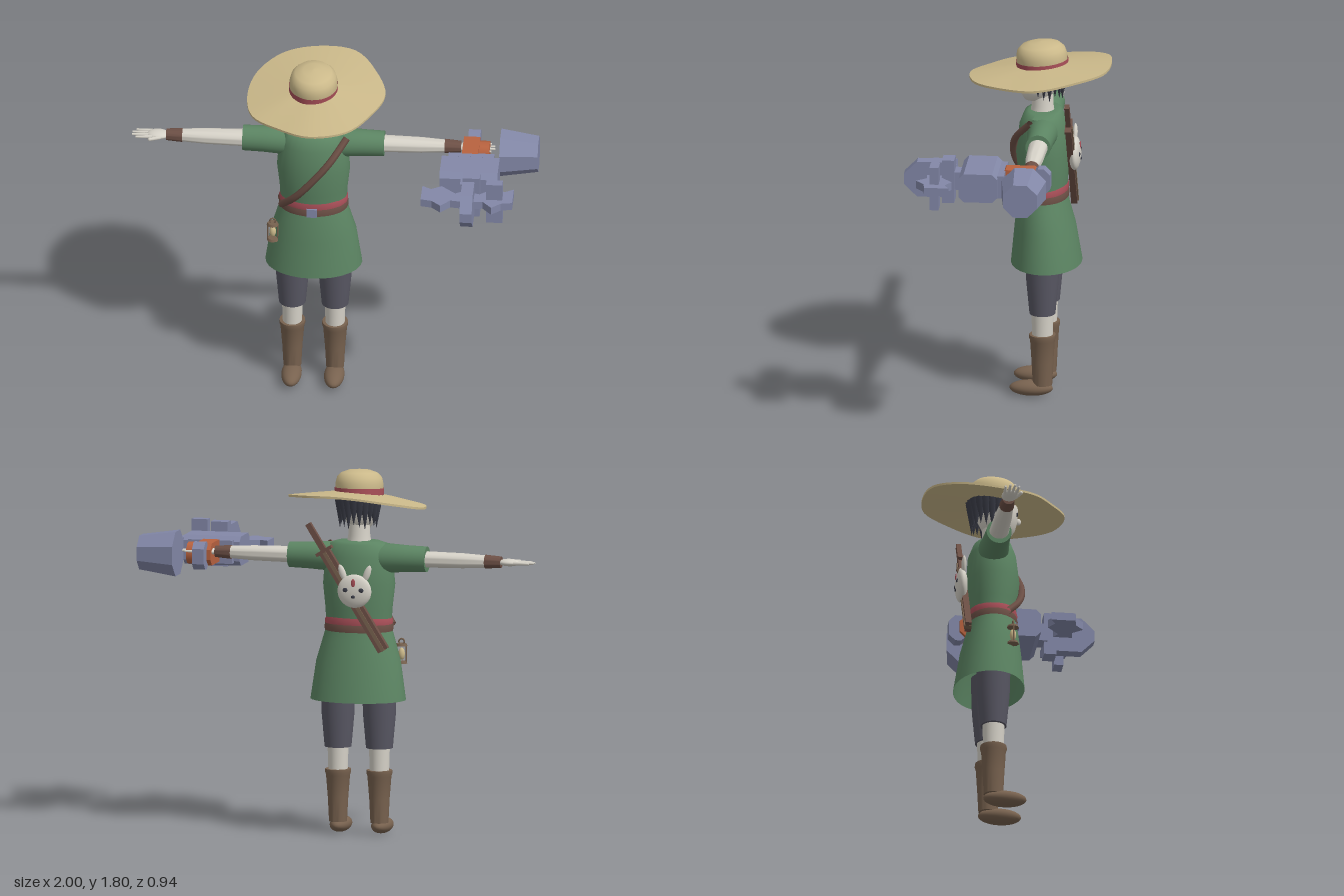
import * as THREE from 'three';
import { toCreasedNormals } from 'three/addons/utils/BufferGeometryUtils.js';

const DS = THREE.DoubleSide;
const mat = (name, color, side = THREE.FrontSide) => {
  const m = new THREE.MeshStandardMaterial({ color, side });
  m.name = name;
  return m;
};

export function createModel() {
  const model = new THREE.Group();
  model.name = 'swordsman';
  const skin = mat('pale skin', 0xd6d2c8), green = mat('tunic green', 0x5c8563, DS),
    straw = mat('straw', 0xcbb98a), red = mat('sash red', 0xa94f58, DS),
    leather = mat('boot leather', 0x78624f), cloth = mat('charcoal cloth', 0x585763, DS),
    steel = mat('blue steel', 0x8388a8), orange = mat('orange metal', 0xb8623f),
    hair = mat('dark hair', 0x3b3d48), strap = mat('strap brown', 0x6d5046, DS);
  const CX = -0.107, CZ = -0.135;

  function add(name, geo, material, pos = [0, 0, 0], parent = model) {
    const m = new THREE.Mesh(geo, material);
    m.name = name;
    m.position.set(...pos);
    parent.add(m);
    return m;
  }
  // Elliptical rings [y, rx, rz, cz] listed from top to bottom
  function loft(rings, open = false, n = 28) {
    const k = rings.length - 1, g = new THREE.CylinderGeometry(1, 1, 1, n, k, open);
    const p = g.attributes.position;
    for (let i = 0; i < p.count; i++) {
      const [y, rx, rz, cz = 0] = rings[Math.round((0.5 - p.getY(i)) * k)];
      p.setXYZ(i, p.getX(i) * rx, y, p.getZ(i) * rz + cz);
    }
    g.computeVertexNormals();
    return toCreasedNormals(g, 0.9);
  }
  const ball = (rx, ry, rz) => new THREE.SphereGeometry(1, 24, 16).scale(rx, ry, rz);
  // Box given by its minimum and maximum corners
  function block(name, a, b, material, parent = model) {
    const size = a.map((v, i) => b[i] - v);
    return add(name, new THREE.BoxGeometry(...size), material, a.map((v, i) => (v + b[i]) / 2), parent);
  }
  function prism(points, depth) {
    const s = new THREE.Shape(points.map(p => new THREE.Vector2(...p)));
    return new THREE.ExtrudeGeometry(s, { depth, bevelEnabled: false }).translate(0, 0, -depth / 2);
  }
  // Rectangle with cut corners
  const cut = (x0, y0, x1, y1, c) => [[x0 + c, y0], [x1 - c, y0], [x1, y0 + c], [x1, y1 - c],
    [x1 - c, y1], [x0 + c, y1], [x0, y1 - c], [x0, y0 + c]];

  // Legs, breeches and boots
  for (const s of [-1, 1]) {
    const leg = new THREE.Group();
    leg.name = s < 0 ? 'rightLeg' : 'leftLeg';
    leg.position.set(CX + s * 0.105, 0, -0.14);
    model.add(leg);
    add('breeches', loft([[0.78, 0.085, 0.085], [0.6, 0.081, 0.08], [0.43, 0.066, 0.064]]), cloth, [0, 0, 0], leg);
    add('shin', loft([[0.46, 0.052, 0.056], [0.3, 0.047, 0.05]]), skin, [0, 0, 0], leg);
    add('bootShaft', loft([[0.32, 0.063, 0.065], [0.305, 0.064, 0.066], [0.29, 0.059, 0.061],
      [0.18, 0.05, 0.054], [0.06, 0.044, 0.048]]), leather, [0, 0, 0], leg);
    add('bootFoot', ball(0.05, 0.039, 0.107), leather, [0, 0.04, 0.056], leg);
  }

  // Tunic
  add('tunicTorso', loft([[1.455, 0.062, 0.065, -0.005], [1.452, 0.11, 0.08, -0.005], [1.44, 0.148, 0.095],
    [1.38, 0.168, 0.118], [1.24, 0.18, 0.131, 0.004], [1.12, 0.167, 0.122], [1.02, 0.162, 0.115]]), green, [CX, 0, CZ]);
  add('tunicSkirt', loft([[1.03, 0.162, 0.115], [0.97, 0.18, 0.128], [0.86, 0.211, 0.15, -0.008],
    [0.67, 0.238, 0.175, -0.015]], true), green, [CX, 0, CZ]);
  add('sash', loft([[1.08, 0.162, 0.121], [1.06, 0.17, 0.125], [1.04, 0.168, 0.122]], true), red, [CX, 0, CZ]);
  add('belt', loft([[1.046, 0.168, 0.123], [1.03, 0.172, 0.127], [1.01, 0.17, 0.125]], true), strap, [CX, 0, CZ]);
  block('buckle', [-0.133, 1.01, -0.02], [-0.082, 1.055, -0.002], steel);

  // Arms, built outwards along local y and turned sideways
  for (const s of [-1, 1]) {
    const arm = new THREE.Group();
    arm.name = s < 0 ? 'rightArm' : 'leftArm';
    arm.position.set(CX, 1.372, -0.143);
    arm.rotation.z = -s * Math.PI / 2;
    model.add(arm);
    add('sleeve', loft([[0.348, 0.063, 0.062], [0.25, 0.066, 0.065], [0.14, 0.073, 0.075], [0.09, 0.06, 0.07]]), green, [0, 0, 0], arm);
    add('forearm', loft([[0.66, 0.03, 0.032], [0.53, 0.037, 0.043], [0.34, 0.04, 0.048], [0.3, 0.04, 0.048]]), skin, [0, 0, 0], arm);
    add('bracer', loft([[0.725, 0.028, 0.03], [0.645, 0.034, 0.037]]), strap, [0, 0, 0], arm);
    add('palm', ball(0.018, 0.055, 0.04), skin, [0, 0.765, 0], arm);
    for (let f = 0; f < 4; f++) {
      const len = [0.08, 0.098, 0.1, 0.082][f], t = f - 1.5;
      const finger = add('finger', new THREE.CylinderGeometry(0.005, 0.01, len, 8), skin, [0, 0.793 + len / 2, t * 0.02], arm);
      finger.rotation.x = t * 0.06;
    }
    const thumb = add('thumb', new THREE.CapsuleGeometry(0.009, 0.05, 4, 8), skin, [0, 0.78, 0.043], arm);
    thumb.rotation.x = 0.35;
  }

  // Head and face
  add('neck', loft([[1.57, 0.052, 0.052], [1.48, 0.054, 0.053], [1.43, 0.062, 0.062]]), skin, [CX, 0, -0.13]);
  add('head', loft([[1.73, 0.04, 0.045], [1.7, 0.077, 0.088], [1.65, 0.09, 0.102], [1.59, 0.086, 0.1],
    [1.54, 0.068, 0.083, 0.004], [1.505, 0.04, 0.054, 0.012], [1.495, 0.012, 0.02, 0.018]]), skin, [CX, 0, -0.108]);
  add('nose', ball(0.011, 0.018, 0.014), skin, [CX, 1.59, -0.005]);
  for (const s of [-1, 1]) {
    add('eye', ball(0.016, 0.011, 0.004), hair, [CX + s * 0.037, 1.612, -0.015]);
    add('ear', ball(0.011, 0.025, 0.018), skin, [CX + s * 0.087, 1.6, -0.11]);
  }

  // Hair cap with hanging locks round the sides and back
  add('hairCap', new THREE.SphereGeometry(1, 24, 10, 0, Math.PI * 2, 0, 1.65).scale(0.105, 0.09, 0.112), hair, [CX, 1.64, -0.135]);
  for (let i = 0; i < 13; i++) {
    const a = -0.25 + i * (Math.PI + 0.5) / 12, len = 0.14 + (i % 3) * 0.012;
    const lock = add('hairLock', new THREE.ConeGeometry(0.03, len, 6), hair,
      [CX + Math.cos(a) * 0.092, 1.68 - len / 2, -0.14 - Math.sin(a) * 0.095]);
    lock.rotation.x = Math.PI;
  }

  // Wavy straw hat
  const radii = [0.353, 0.335, 0.362, 0.355, 0.317, 0.332, 0.326, 0.337, 0.347, 0.342, 0.366, 0.341];
  const rim = new THREE.CatmullRomCurve3(radii.map((r, i) =>
    new THREE.Vector3(Math.cos(i * Math.PI / 6) * r, 0, Math.sin(i * Math.PI / 6) * r)), true);
  const profile = [[0.28, -0.008], [0.5, -0.008], [0.75, -0.008], [1, -0.006], [1, 0.005], [0.75, 0.006], [0.5, 0.006], [0.28, 0.006]];
  const brim = new THREE.LatheGeometry(profile.map(p => new THREE.Vector2(...p)), 60);
  const bp = brim.attributes.position;
  for (let i = 0; i < bp.count; i++) {
    const x = bp.getX(i), z = bp.getZ(i), t = Math.hypot(x, z), a = Math.atan2(z, x);
    const q = rim.getPoint(((a / (2 * Math.PI)) + 1) % 1);
    const edge = 0.02 * Math.cos(a) - 0.038 * Math.sin(a);
    const drop = -0.03 - 0.013 * Math.cos(2 * a), k = (t - 0.28) / 0.72;
    bp.setXYZ(i, q.x * t, 1.685 + bp.getY(i) + edge * t + drop * k, q.z * t);
  }
  add('hatBrim', toCreasedNormals(brim, 0.8), straw, [CX, 0, -0.13]);
  const crown = new THREE.Group();
  crown.name = 'hatCrown';
  crown.position.set(CX, 1.677, -0.13);
  crown.rotation.x = 0.08;
  crown.scale.z = 1.07;
  model.add(crown);
  const dome = [[0.113, -0.01], [0.118, 0.03], [0.117, 0.06], [0.11, 0.088], [0.09, 0.11], [0.05, 0.124], [0, 0.128]];
  add('crownDome', new THREE.LatheGeometry(dome.map(p => new THREE.Vector2(...p)), 32), straw, [0, 0, 0], crown);
  add('hatBand', new THREE.CylinderGeometry(0.121, 0.12, 0.032, 32, 1, true), red, [0, 0.02, 0], crown);

  // Chest strap
  const path = new THREE.CatmullRomCurve3([[0.06, 1.43, -0.085], [-0.02, 1.33, -0.006], [-0.11, 1.22, 0.011],
    [-0.19, 1.12, -0.012], [-0.262, 1.035, -0.075]].map(p => new THREE.Vector3(...p)));
  add('chestStrap', new THREE.TubeGeometry(path, 24, 0.018, 6), strap);

  // Sheathed sword across the back
  const sword = new THREE.Group();
  sword.name = 'sword';
  sword.position.set(-0.078, 1.238, -0.272);
  sword.rotation.z = -0.559;
  model.add(sword);
  block('scabbard', [-0.028, -0.36, -0.015], [0.028, 0.2, 0.015], strap, sword);
  block('scabbardRidge', [-0.009, -0.362, -0.02], [0.009, 0.2, 0.016], leather, sword);
  block('guard', [-0.045, 0.2, -0.016], [0.045, 0.216, 0.016], strap, sword);
  block('hilt', [-0.014, 0.216, -0.012], [0.014, 0.363, 0.012], strap, sword);

  // Animal mask over the scabbard, facing backwards
  const mask = new THREE.Group();
  mask.name = 'backMask';
  mask.position.set(-0.125, 1.222, -0.288);
  model.add(mask);
  add('maskFace', ball(0.086, 0.083, 0.03), skin, [0, 0, 0], mask);
  add('maskMark', ball(0.011, 0.022, 0.004), red, [0, 0.042, -0.026], mask);
  add('maskNose', ball(0.01, 0.008, 0.005), hair, [0, -0.025, -0.029], mask);
  for (const s of [-1, 1]) {
    const ear = add('maskEar', ball(0.017, 0.045, 0.012), skin, [s * 0.062, 0.086, 0.005], mask);
    ear.rotation.z = -s * 0.35;
    add('maskEye', ball(0.013, 0.011, 0.004), hair, [s * 0.04, 0.008, -0.026], mask);
  }

  // Small hip lantern
  const lantern = new THREE.Group();
  lantern.name = 'hipLantern';
  lantern.position.set(-0.302, 0.89, -0.055);
  model.add(lantern);
  add('lanternGlass', ball(0.016, 0.03, 0.016), straw, [0, -0.003, 0], lantern);
  for (const y of [-0.045, 0.042]) add('lanternCap', new THREE.CylinderGeometry(0.025, 0.03, 0.012, 8), leather, [0, y, 0], lantern);
  for (const s of [-1, 1]) add('lanternPost', new THREE.CylinderGeometry(0.004, 0.004, 0.09, 6), leather, [s * 0.024, 0, 0], lantern);
  add('lanternLoop', new THREE.TorusGeometry(0.014, 0.004, 6, 12), leather, [0, 0.058, 0], lantern);

  // Mechanical gauntlet round the left hand
  const gun = new THREE.Group();
  gun.name = 'armCannon';
  model.add(gun);
  const muzzle = add('muzzle', toCreasedNormals(new THREE.CylinderGeometry(0.09, 0.119, 0.187, 8, 1, false, Math.PI / 8), 0.3),
    steel, [0.9065, 1.355, -0.132], gun);
  muzzle.rotation.z = -Math.PI / 2;
  const side = (name, pts, x0, x1, m) =>
    add(name, prism(pts, x1 - x0).rotateY(-Math.PI / 2), m, [(x0 + x1) / 2, 0, 0], gun);
  side('housing', cut(0, 1.28, 0.19, 1.425, 0.025), 0.535, 0.82, steel);
  side('frontDisc', cut(0.21, 1.265, 0.47, 1.445, 0.065), 0.655, 0.715, steel);
  side('rearClamp', cut(-0.25, 1.29, -0.16, 1.425, 0.03), 0.65, 0.71, steel);
  block('housingPlate', [0.565, 1.295, -0.03], [0.79, 1.41, 0.002], steel, gun);
  block('discBracket', [0.655, 1.245, 0.22], [0.74, 1.465, 0.28], steel, gun);
  block('discNeck', [0.64, 1.31, 0.185], [0.725, 1.4, 0.235], steel, gun);
  block('column', [0.775, 1.245, 0.285], [0.855, 1.465, 0.33], steel, gun);
  const wing = [[-0.225, 0.23], [-0.18, 0.255], [-0.13, 0.225], [-0.06, 0.285], [0, 0.25], [0, 0.36],
    [-0.08, 0.35], [-0.125, 0.4], [-0.17, 0.36], [-0.225, 0.35]];
  for (const s of [-1, 1])
    add('wing', prism(wing.map(([x, z]) => [-s * x, z]), 0.04).rotateX(Math.PI / 2), steel, [0.68, 1.358, 0], gun);
  side('gripCore', cut(-0.2, 1.305, 0, 1.415, 0.03), 0.63, 0.71, orange);
  const axle = add('gripAxle', new THREE.CylinderGeometry(0.055, 0.055, 0.06, 12), orange, [0.73, 1.358, -0.125], gun);
  axle.rotation.z = Math.PI / 2;

  return model;
}
